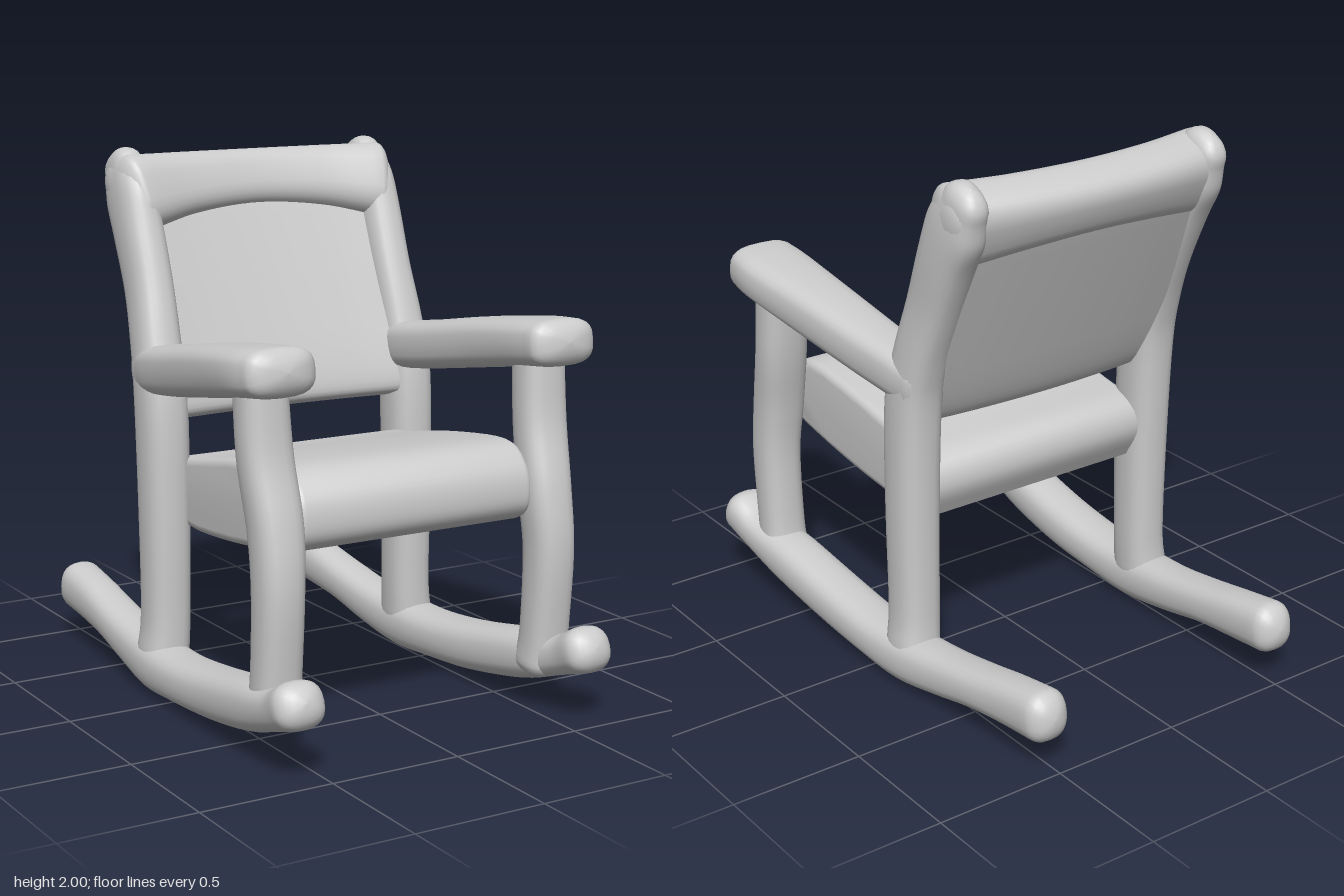
import * as THREE from 'three';
import { toCreasedNormals } from 'three/addons/utils/BufferGeometryUtils.js';

const material = new THREE.MeshStandardMaterial({ color: 0xcccccc, side: THREE.DoubleSide });
const X = new THREE.Vector3(1, 0, 0);

// Round-ended log swept through stations [x, y, z, half width along side, half thickness].
function loft(stations, { side = X, power = 2.5, cap = 0.06, steps = 28, n = 24 } = {}) {
  const path = new THREE.CatmullRomCurve3(
    stations.map(([x, y, z]) => new THREE.Vector3(x, y, z)), false, 'catmullrom');
  const sizes = new THREE.CatmullRomCurve3(
    stations.map((s) => new THREE.Vector3(s[3], s[4], 0)), false, 'catmullrom');
  const rings = [];
  const dome = 6;
  for (let k = 0; k < dome; k++) rings.push([0, -Math.cos((k / dome) * Math.PI / 2), Math.sin((k / dome) * Math.PI / 2)]);
  for (let k = 0; k <= steps; k++) rings.push([k / steps, 0, 1]);
  for (let k = dome - 1; k >= 0; k--) rings.push([1, Math.cos((k / dome) * Math.PI / 2), Math.sin((k / dome) * Math.PI / 2)]);

  const pos = [], index = [];
  const bend = (v) => Math.sign(v) * Math.abs(v) ** (2 / power);
  rings.forEach(([t, push, scale], i) => {
    const tangent = path.getTangent(t);
    const s = side.clone().addScaledVector(tangent, -side.dot(tangent)).normalize();
    const normal = tangent.clone().cross(s);
    const centre = path.getPoint(t).addScaledVector(tangent, push * cap);
    const size = sizes.getPoint(t);
    for (let j = 0; j < n; j++) {
      const a = (j / n) * Math.PI * 2;
      const p = centre.clone()
        .addScaledVector(s, bend(Math.cos(a)) * size.x * scale)
        .addScaledVector(normal, bend(Math.sin(a)) * size.y * scale);
      pos.push(p.x, p.y, p.z);
      if (i < rings.length - 1) {
        const b = i * n + j, c = i * n + (j + 1) % n;
        index.push(b, c, c + n, b, c + n, b + n);
      }
    }
  });
  const g = new THREE.BufferGeometry();
  g.setAttribute('position', new THREE.Float32BufferAttribute(pos, 3));
  g.setIndex(index);
  g.computeVertexNormals();
  return g;
}

export function createModel() {
  const model = new THREE.Group();
  const add = (name, geometry) => {
    const mesh = new THREE.Mesh(geometry, material);
    mesh.name = name;
    model.add(mesh);
  };

  // Parts that come in a left and right pair
  const pairs = {
    Rocker: [[
      [0.595, 0.27, 0.93, 0.095, 0.085], [0.59, 0.225, 0.82, 0.09, 0.075], [0.57, 0.178, 0.62, 0.1, 0.092],
      [0.555, 0.128, 0.33, 0.103, 0.092], [0.55, 0.102, 0.06, 0.103, 0.088], [0.545, 0.098, -0.16, 0.1, 0.095],
      [0.535, 0.123, -0.38, 0.092, 0.086], [0.528, 0.16, -0.58, 0.088, 0.08],
      [0.522, 0.188, -0.76, 0.085, 0.088], [0.52, 0.21, -0.93, 0.085, 0.095],
    ], { cap: 0.07, steps: 45 }],
    FrontLeg: [[
      [0.56, 0.18, 0.71, 0.09, 0.09], [0.56, 0.3, 0.725, 0.085, 0.082], [0.56, 0.6, 0.74, 0.085, 0.09],
      [0.555, 0.82, 0.715, 0.092, 0.09], [0.565, 1.05, 0.665, 0.095, 0.083], [0.57, 1.3, 0.64, 0.09, 0.085],
    ], {}],
    BackPost: [[
      [0.54, 0.14, -0.165, 0.09, 0.1], [0.53, 0.3, -0.16, 0.085, 0.095], [0.53, 0.7, -0.16, 0.088, 0.1],
      [0.53, 1.1, -0.175, 0.09, 0.104], [0.525, 1.3, -0.22, 0.085, 0.1], [0.515, 1.5, -0.29, 0.08, 0.105],
      [0.515, 1.7, -0.37, 0.08, 0.115], [0.515, 1.83, -0.43, 0.075, 0.125], [0.515, 1.92, -0.48, 0.062, 0.095],
    ], { cap: 0.075, steps: 40 }],
    Armrest: [[
      [0.57, 1.36, 0.77, 0.135, 0.085], [0.573, 1.345, 0.64, 0.142, 0.088], [0.56, 1.3, 0.35, 0.125, 0.093],
      [0.54, 1.248, 0.05, 0.11, 0.092], [0.53, 1.22, -0.14, 0.1, 0.09], [0.53, 1.2, -0.23, 0.085, 0.085],
    ], { cap: 0.06, power: 3 }],
  };
  for (const [name, [stations, options]] of Object.entries(pairs)) {
    for (const [label, sign] of [['left', 1], ['right', -1]]) {
      add(label + name, loft(stations.map(([x, ...rest]) => [x * sign, ...rest]), options));
    }
  }

  // Cushioned seat: rounded side profile drawn in (z, y), extruded across the chair
  const outline = new THREE.SplineCurve([
    [-0.16, 0.675], [0, 0.662], [0.3, 0.685], [0.6, 0.73], [0.7, 0.76], [0.725, 0.82], [0.7, 0.91],
    [0.6, 0.965], [0.3, 0.935], [0, 0.88], [-0.16, 0.85], [-0.2, 0.77], [-0.16, 0.675],
  ].map(([z, y]) => new THREE.Vector2(z, y)));
  const seat = new THREE.ExtrudeGeometry(new THREE.Shape(outline.getPoints(60)), {
    depth: 0.9, steps: 1, bevelSize: 0.03, bevelThickness: 0.03, bevelSegments: 4,
  });
  seat.translate(0, 0, -0.45).rotateY(-Math.PI / 2);
  add('seat', toCreasedNormals(seat, 0.8));

  // Leaning back panel, slightly bowed, and a padded headrest that wraps the post tops
  const lean = new THREE.Vector3(0, 0.93, -0.37);
  const bowed = (width, edge, middle) => [-1, -0.55, 0, 0.55, 1].map((u) => [
    u * width, ...edge.map((v, i) => THREE.MathUtils.lerp(middle[i], v, u * u)),
  ]);
  add('backPanel', loft(bowed(0.5, [1.49, -0.315, 0.49, 0.072], [1.49, -0.345, 0.49, 0.072]),
    { side: lean, power: 5, cap: 0.02, n: 40 }));
  add('headrest', loft(bowed(0.525, [1.825, -0.41, 0.15, 0.118], [1.852, -0.478, 0.115, 0.108]),
    { side: lean, power: 2.8, cap: 0.055, n: 32 }));

  return model;
}
